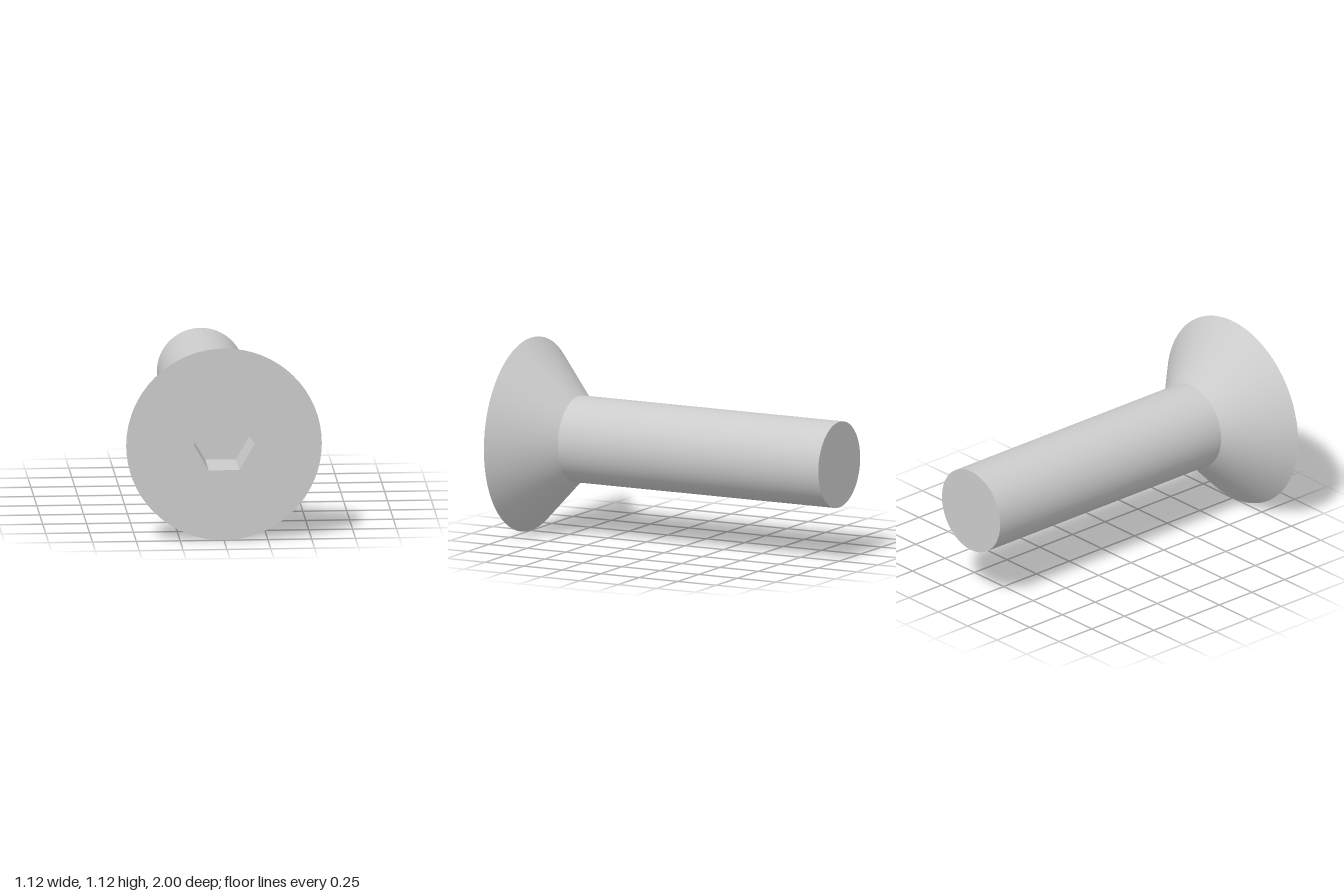
import * as THREE from 'three';

const SIDES = 64;
const HEAD_R = 0.558, SHANK_R = 0.248, HEX_R = 0.174;
const FRONT = 1, NECK = 0.69, BACK = -1, SOCKET_DEPTH = 0.29;

// Open tube along z from zBack to zFront
function tube(rFront, rBack, zFront, zBack, sides, start = 0) {
  const g = new THREE.CylinderGeometry(rFront, rBack, zFront - zBack, sides, 1, true, start);
  return g.rotateX(Math.PI / 2).translate(0, 0, (zFront + zBack) / 2);
}

// Corners of a regular polygon, first corner on +x
function polygon(r, sides) {
  return Array.from({ length: sides }, (_, i) => {
    const a = (i / sides) * Math.PI * 2;
    return new THREE.Vector2(r * Math.cos(a), r * Math.sin(a));
  });
}

export function createModel() {
  const group = new THREE.Group();
  group.name = 'countersunkScrew';
  const smooth = new THREE.MeshStandardMaterial({ color: 0xcccccc });
  const flat = new THREE.MeshStandardMaterial({ color: 0xcccccc, flatShading: true });
  const inner = new THREE.MeshStandardMaterial({ color: 0xcccccc, flatShading: true, side: THREE.BackSide });

  const add = (name, geometry, material) => {
    const mesh = new THREE.Mesh(geometry, material);
    mesh.name = name;
    mesh.position.y = HEAD_R;
    group.add(mesh);
  };

  // Head: flat face with a hexagonal opening, and the cone behind it
  const face = new THREE.Shape(polygon(HEAD_R, SIDES));
  face.holes.push(new THREE.Path(polygon(HEX_R, 6)));
  add('headFace', new THREE.ShapeGeometry(face).translate(0, 0, FRONT), flat);
  add('headCone', tube(HEAD_R, SHANK_R, FRONT, NECK, SIDES), smooth);

  // Hex socket: inward-facing walls and floor
  const floorZ = FRONT - SOCKET_DEPTH;
  add('socketWalls', tube(HEX_R, HEX_R, FRONT, floorZ, 6, Math.PI / 6), inner);
  add('socketFloor', new THREE.CircleGeometry(HEX_R, 6).translate(0, 0, floorZ), flat);

  // Plain shank with a flat end
  add('shank', tube(SHANK_R, SHANK_R, NECK, BACK, SIDES), smooth);
  add('shankEnd', new THREE.CircleGeometry(SHANK_R, SIDES).rotateY(Math.PI).translate(0, 0, BACK), flat);

  return group;
}
